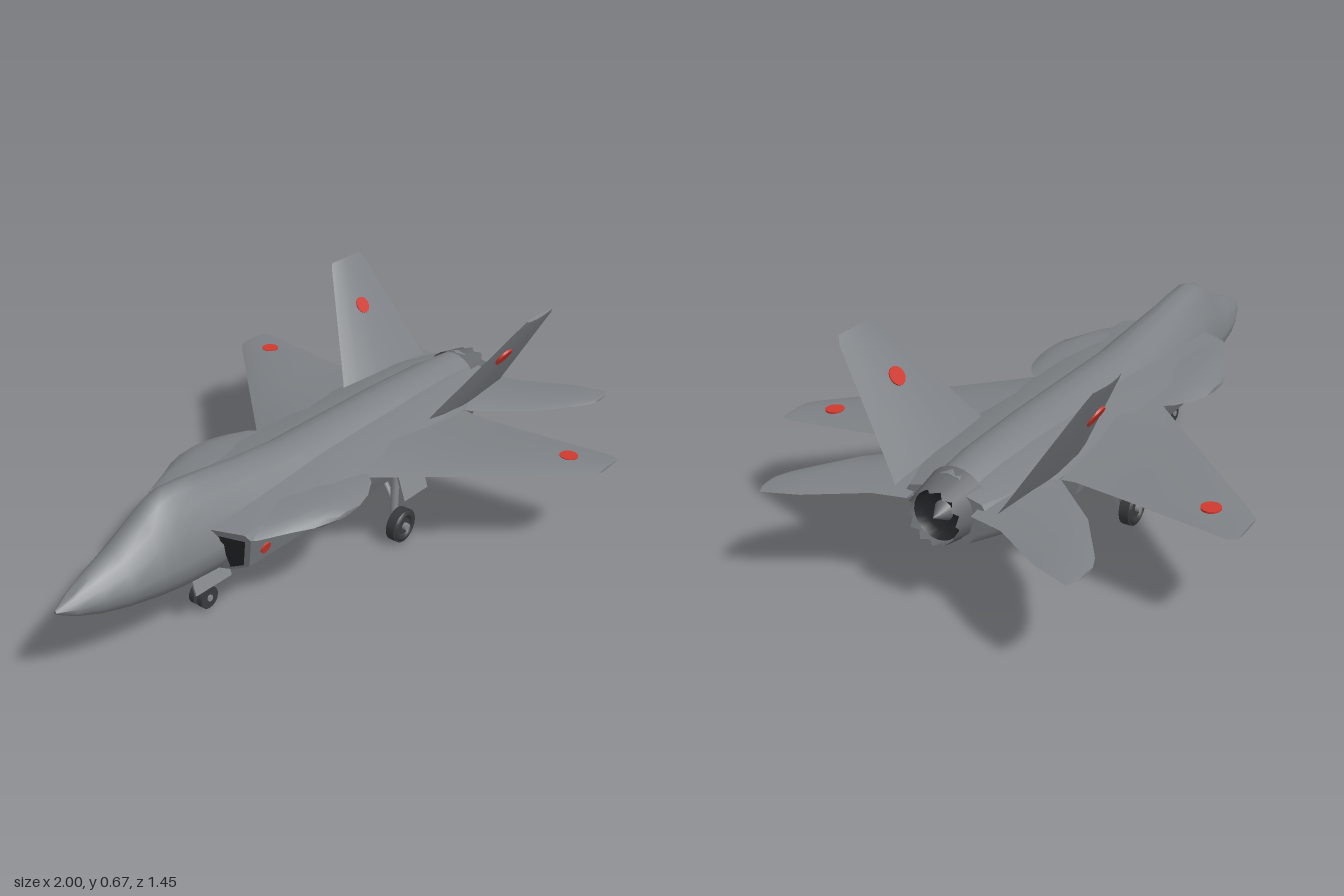
import * as THREE from 'three';
import { toCreasedNormals } from 'three/addons/utils/BufferGeometryUtils.js';

const V = (x, y, z) => new THREE.Vector3(x, y, z);
const mat = (name, color, side = THREE.FrontSide) => {
  const m = new THREE.MeshStandardMaterial({ color, side });
  m.name = name;
  return m;
};

// Skin closed rings of points into a capped solid; flip reverses the winding
function loft(rings, crease = 0.6, flip = false) {
  const n = rings[0].length, pos = [], idx = [];
  const tri = (a, b, c) => (flip ? idx.push(a, c, b) : idx.push(a, b, c));
  rings.forEach(r => r.forEach(p => pos.push(p.x, p.y, p.z)));
  for (let i = 0; i < rings.length - 1; i++) {
    for (let j = 0; j < n; j++) {
      const a = i * n + j, b = i * n + (j + 1) % n;
      tri(a, b, a + n);
      tri(b, b + n, a + n);
    }
  }
  [0, rings.length - 1].forEach(i => {
    const r = rings[i], o = pos.length / 3;
    const c = r[0].clone().add(r[n / 2]).multiplyScalar(0.5);
    pos.push(c.x, c.y, c.z);
    for (let j = 0; j < n; j++) {
      const a = i * n + j, b = i * n + (j + 1) % n;
      if (i === 0) tri(o, b, a); else tri(o, a, b);
    }
  });
  const g = new THREE.BufferGeometry();
  g.setAttribute('position', new THREE.Float32BufferAttribute(pos, 3));
  g.setIndex(idx);
  return toCreasedNormals(g, crease);
}

// Mirror a half outline of [z, y] (top to bottom) into a full ring
function mirrorRing(half, xAt) {
  const other = half.slice(1, -1).reverse().map(([z, y]) => [-z, y]);
  return [...half, ...other].map(([z, y]) => V(xAt(z, y), y, z));
}

// Lens-section flying surface; stations are [leadX, trailX, y, z, thickness]
const LENS = [[0, 0], [0.2, 0.5], [0.4, 0.85], [0.6, 1], [0.85, 0.7], [1, 0], [0.85, -0.7], [0.6, -1], [0.4, -0.85], [0.2, -0.5]];
function airfoil(stations, side, ny = 1, nz = 0) {
  const rings = stations.map(([lead, trail, y, z, t]) => LENS.map(([u, h]) =>
    V(trail + (lead - trail) * u, y + ny * h * t / 2, side * (z + nz * h * t / 2))));
  return loft(rings, 0.7, side < 0);
}

export function createModel() {
  const model = new THREE.Group();
  model.name = 'jetAircraft';
  const grey = mat('airframeGrey', 0x7d8185);
  const dark = mat('darkOpening', 0x242628, THREE.DoubleSide);
  const metal = mat('nozzleMetal', 0x66696c, THREE.DoubleSide);
  const strutGrey = mat('gearGrey', 0x85888b);
  const rubber = mat('tyreBlack', 0x37393b);
  const red = mat('markingRed', 0xd0392f);

  const add = (name, geo, material, parent = model) => {
    const m = new THREE.Mesh(geo, material);
    m.name = name;
    parent.add(m);
    return m;
  };
  const rod = (name, a, b, r, parent) => {
    const m = add(name, new THREE.CylinderGeometry(r, r, a.distanceTo(b), 10), strutGrey, parent);
    m.position.copy(a).add(b).multiplyScalar(0.5);
    m.quaternion.setFromUnitVectors(V(0, 1, 0), b.clone().sub(a).normalize());
  };
  const disc = (name, p, normal, r) => {
    const m = add(name, new THREE.CylinderGeometry(r, r, 0.009, 20), red);
    m.position.copy(p);
    m.quaternion.setFromUnitVectors(V(0, 1, 0), normal.normalize());
  };

  // Central fuselage with nose, canopy hump and spine: [x, top, bottom, halfWidth, widestY]
  const core = [
    [-1, 0.275, 0.264, 0.005, 0.27], [-0.95, 0.3, 0.237, 0.035, 0.268], [-0.88, 0.332, 0.212, 0.062, 0.27],
    [-0.8, 0.362, 0.195, 0.086, 0.272], [-0.7, 0.418, 0.178, 0.104, 0.275], [-0.65, 0.45, 0.172, 0.111, 0.278],
    [-0.6, 0.465, 0.168, 0.117, 0.28], [-0.5, 0.455, 0.164, 0.125, 0.285], [-0.3, 0.425, 0.158, 0.13, 0.3],
    [-0.1, 0.402, 0.15, 0.13, 0.31], [0.4, 0.4, 0.15, 0.13, 0.31], [0.65, 0.395, 0.165, 0.122, 0.3], [0.8, 0.384, 0.2, 0.1, 0.29],
  ];
  add('fuselage', loft(core.map(([x, top, bot, w, yw]) => {
    const h = top - yw, d = yw - bot;
    return mirrorRing([[0, top], [0.28 * w, top - 0.07 * h], [0.5 * w, top - 0.25 * h], [0.75 * w, top - 0.58 * h],
      [w, yw], [0.92 * w, yw - 0.45 * d], [0.72 * w, yw - 0.8 * d], [0.4 * w, yw - 0.96 * d], [0, bot]], () => x);
  }), 0.9), grey);

  // Wide hull holding the intake ducts: [x, halfWidth, top, lowSideY, bottom, bellyHalfWidth]
  const mouthX = (z, y) => -0.56 + 0.45 * Math.abs(z) + 0.4 * (0.31 - y);
  const hull = [
    [null, 0.2, 0.345, 0.2, 0.168, 0.115], [-0.3, 0.2, 0.36, 0.2, 0.158, 0.115], [0, 0.205, 0.37, 0.2, 0.146, 0.115],
    [0.45, 0.205, 0.375, 0.2, 0.145, 0.11], [0.65, 0.185, 0.372, 0.21, 0.162, 0.1], [0.82, 0.125, 0.355, 0.235, 0.2, 0.07],
  ];
  add('hull', loft(hull.map(([x, w, top, low, bot, wb]) => mirrorRing(
    [[0, top], [0.5 * w, top - 0.01], [w - 0.012, 0.332], [w, 0.312], [w - 0.035, low], [wb, bot + 0.008], [0, bot]],
    (z, y) => (x === null ? mouthX(z, y) : x)), 0.5)), grey);

  // Engine nozzle with a serrated edge and a dark bore
  const shell = new THREE.CylinderGeometry(0.076, 0.098, 0.12, 24, 1, true);
  const sp = shell.attributes.position;
  for (let i = 0; i < sp.count; i++) {
    if (sp.getY(i) > 0 && i % 2) sp.setY(i, sp.getY(i) - 0.022);
  }
  const bore = new THREE.LatheGeometry([[0, 0.005], [0.06, 0.005], [0.072, 0.035]].map(p => new THREE.Vector2(...p)), 24);
  [['nozzle', shell, metal, 0.825], ['nozzleBore', bore, dark, 0.822]].forEach(([name, g, m, x]) => {
    g.rotateZ(-Math.PI / 2);
    add(name, g, m).position.set(x, 0.29, 0);
  });
  const cone = new THREE.ConeGeometry(0.03, 0.05, 16).rotateZ(-Math.PI / 2);
  add('exhaustCone', cone, metal).position.set(0.85, 0.29, 0);

  // Flying surfaces, gear and markings repeated on both sides
  for (const s of [1, -1]) {
    const tag = s > 0 ? 'Near' : 'Far';
    add('wing' + tag, airfoil([[-0.12, 0.58, 0.31, 0.1, 0.075], [0.03, 0.56, 0.308, 0.235, 0.05],
      [0.165, 0.575, 0.304, 0.38, 0.036], [0.465, 0.622, 0.3, 0.7, 0.018], [0.495, 0.612, 0.3, 0.727, 0.008]], s), grey);
    add('foreplane' + tag, airfoil([[-0.5, 0.07, 0.312, 0.13, 0.06], [-0.46, 0.035, 0.312, 0.21, 0.06],
      [-0.37, 0, 0.31, 0.25, 0.05], [-0.3, -0.06, 0.308, 0.285, 0.036], [-0.23, -0.12, 0.306, 0.302, 0.014]], s), grey);
    add('tailplane' + tag, airfoil([[0.48, 0.85, 0.31, 0.1, 0.06], [0.57, 0.87, 0.308, 0.2, 0.04],
      [0.71, 0.965, 0.305, 0.36, 0.026], [0.86, 1, 0.303, 0.465, 0.014], [0.9, 0.97, 0.303, 0.482, 0.007]], s), grey);
    add('tailFin' + tag, airfoil([[0.36, 0.825, 0.3, 0.148, 0.038], [0.4, 0.81, 0.35, 0.181, 0.034],
      [0.57, 0.745, 0.645, 0.373, 0.018], [0.585, 0.73, 0.666, 0.386, 0.012]], s, 0.55, -0.83), grey);

    // Intake mouth
    const mouth = new THREE.BufferGeometry().setFromPoints([[0.12, 0.318], [0.188, 0.31], [0.156, 0.208], [0.115, 0.19]]
      .map(([z, y]) => V(mouthX(z, y) - 0.006, y, s * z)));
    mouth.setIndex([0, 1, 2, 0, 2, 3]);
    mouth.computeVertexNormals();
    add('intakeMouth' + tag, mouth, dark);

    // Round markings
    disc('wingMarking' + tag, V(0.515, 0.31, s * 0.61), V(0, 1, 0), 0.028);
    disc('finOuterMarking' + tag, V(0.585, 0.529, s * 0.311), V(0, -0.55, s * 0.83), 0.033);
    disc('finInnerMarking' + tag, V(0.625, 0.529, s * 0.285), V(0, 0.55, -s * 0.83), 0.028);
    disc('intakeMarking' + tag, V(-0.39, 0.245, s * 0.179), V(0, -0.3, s * 0.95), 0.019);

    // Main landing gear
    const gear = new THREE.Group();
    gear.name = 'mainGear' + tag;
    model.add(gear);
    const tyre = new THREE.CylinderGeometry(0.056, 0.056, 0.03, 24).rotateX(Math.PI / 2);
    add('wheel', tyre, rubber, gear).position.set(0.2, 0.057, s * 0.217);
    const tread = new THREE.TorusGeometry(0.04, 0.016, 8, 24).scale(1, 1, 1.4);
    add('tyreWall', tread, rubber, gear).position.set(0.2, 0.057, s * 0.217);
    rod('axle', V(0.2, 0.057, s * 0.18), V(0.2, 0.057, s * 0.245), 0.012, gear);
    rod('strut', V(0.2, 0.05, s * 0.188), V(0.21, 0.28, s * 0.185), 0.013, gear);
    rod('brace', V(0.205, 0.12, s * 0.188), V(0.21, 0.2, s * 0.13), 0.009, gear);
    rod('dragLink', V(0.2, 0.13, s * 0.188), V(0.26, 0.23, s * 0.17), 0.008, gear);
    const door = add('gearDoor', new THREE.BoxGeometry(0.12, 0.125, 0.007), strutGrey, gear);
    door.position.set(0.243, 0.215, s * 0.218);
    door.rotation.x = s * -0.33;

    // Nose gear doors
    const noseDoor = add('noseGearDoor' + tag, new THREE.BoxGeometry(0.145, 0.065, 0.006), strutGrey);
    noseDoor.position.set(-0.483, 0.143, s * 0.052);
    noseDoor.rotation.x = s * -0.3;
  }
  disc('sideMarking', V(-0.18, 0.225, 0.174), V(0, -0.3, 0.95), 0.018);
  disc('tailplaneMarking', V(0.845, 0.311, -0.33), V(0, 1, 0), 0.02);

  // Nose landing gear with twin wheels
  const nose = new THREE.Group();
  nose.name = 'noseGear';
  model.add(nose);
  for (const s of [1, -1]) {
    const tyre = new THREE.CylinderGeometry(0.035, 0.035, 0.018, 20).rotateX(Math.PI / 2);
    add('wheel', tyre, rubber, nose).position.set(-0.465, 0.043, s * 0.016);
  }
  rod('axle', V(-0.465, 0.043, -0.03), V(-0.465, 0.043, 0.03), 0.01, nose);
  rod('strut', V(-0.465, 0.043, 0), V(-0.47, 0.18, 0), 0.013, nose);
  rod('dragLink', V(-0.468, 0.09, 0), V(-0.53, 0.175, 0), 0.008, nose);

  // Sensor blister under the nose
  add('sensorBlister', new THREE.SphereGeometry(0.014, 12, 8), dark).position.set(-0.78, 0.19, 0);
  return model;
}
